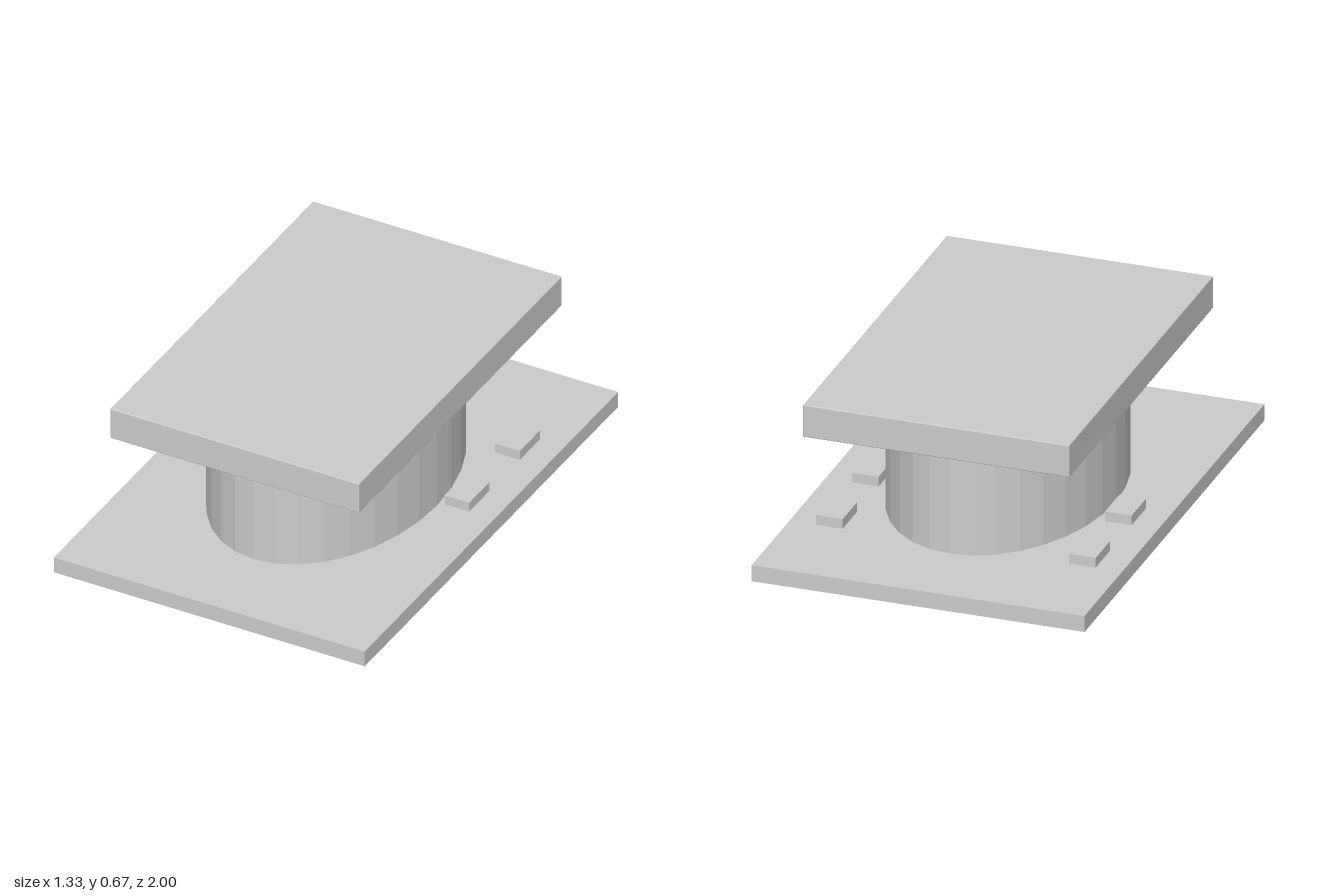
import * as THREE from 'three';
import { RoundedBoxGeometry } from 'three/addons/geometries/RoundedBoxGeometry.js';

export function createModel() {
  const model = new THREE.Group();
  const grey = new THREE.MeshStandardMaterial({ color: 0xcccccc, flatShading: true });
  grey.name = 'light grey';

  function add(name, geometry, x, y, z) {
    const mesh = new THREE.Mesh(geometry, grey);
    mesh.name = name;
    mesh.position.set(x, y, z);
    model.add(mesh);
    return mesh;
  }

  // Heights of the stacked parts
  const baseTop = 0.0667, slabBottom = 0.5333, slabTop = 0.6667;

  // Flat base plate
  add('basePlate', new THREE.BoxGeometry(1.3333, baseTop, 2), 0, baseTop / 2, 0);

  // Faceted oval column
  const columnHeight = slabBottom - baseTop;
  const column = new THREE.CylinderGeometry(1, 1, columnHeight, 32);
  column.scale(0.4333, 1, 0.65);
  add('column', column, 0, baseTop + columnHeight / 2, 0);

  // Top slab with finely eased edges
  const slab = new RoundedBoxGeometry(1.0667, slabTop - slabBottom, 1.6, 2, 0.004);
  add('topSlab', slab, 0, (slabTop + slabBottom) / 2, 0);

  // Two small blocks on each side of the column, toward the back
  const block = new THREE.BoxGeometry(0.1067, 0.04, 0.16);
  for (const [side, x] of [['left', 0.5067], ['right', -0.5067]]) {
    add(side + 'FrontBlock', block, x, baseTop + 0.02, -0.1);
    add(side + 'BackBlock', block, x, baseTop + 0.02, -0.5);
  }

  return model;
}
